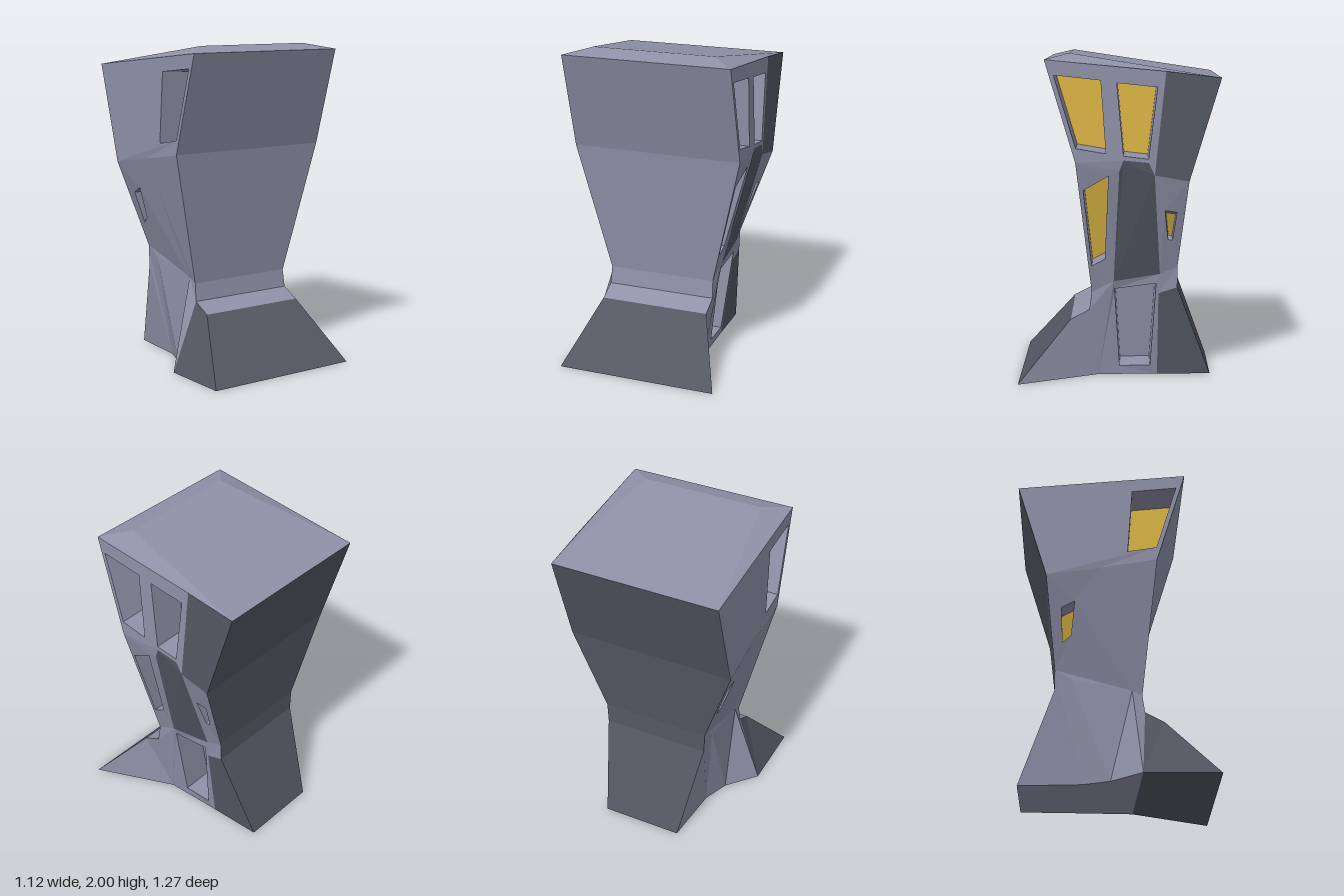
import * as THREE from 'three';

function paint(name, color) {
  const m = new THREE.MeshStandardMaterial({ color, side: THREE.DoubleSide });
  m.name = name;
  return m;
}
const wallMat = paint('paleGrey', 0x8f91a8);
const darkMat = paint('darkGrey', 0x535863);
const glassMat = paint('goldGlass', 0xdcb643);

// Corner profiles from the ground up: [z, y, half width]
const F = [[0.607, 0, 0.51], [0.29, 0.37, 0.35], [0.175, 0.43, 0.35], [0.16, 0.54, 0.345], [0.25, 1.36, 0.54], [0.43, 1.965, 0.535]];
const B = [[-0.575, 0, 0.255], [-0.365, 0.57, 0.34], [-0.365, 0.7, 0.345], [-0.425, 1.25, 0.535], [-0.61, 1.86, 0.532]];

// Point on a corner profile at height y
function along(profile, y) {
  let i = 0;
  while (i < profile.length - 2 && profile[i + 1][1] < y) i++;
  const a = profile[i], b = profile[i + 1];
  const t = (y - a[1]) / (b[1] - a[1]);
  return a.map((v, k) => v + (b[k] - v) * t);
}

// Half width of the side wall at (z, y), blended between the corners
function wallWidth(z, y) {
  const f = along(F, y), b = along(B, y);
  return f[2] + (b[2] - f[2]) * (f[0] - z) / (f[0] - b[0]);
}
const onWall = (z, y) => [z, y, wallWidth(z, y)];
const doorWidth = (z, y) => 0.27 + 0.125 * y;

function mesh(name, positions, material = wallMat) {
  const g = new THREE.BufferGeometry();
  g.setAttribute('position', new THREE.Float32BufferAttribute(positions.flat(), 3));
  g.computeVertexNormals();
  const m = new THREE.Mesh(g, material);
  m.name = name;
  return m;
}
const quad = (a, b, c, d) => [a, b, c, a, c, d];
const R = p => [p[2], p[1], p[0]], L = p => [-p[2], p[1], p[0]];

// Polygon of [z, y, width] points with holes, on the side given by sign
function panel(sign, outline, holes = []) {
  const flat = l => l.map(p => new THREE.Vector2(p[0], p[1]));
  const all = [outline, ...holes].flat();
  const out = [];
  for (const t of THREE.ShapeUtils.triangulateShape(flat(outline), holes.map(flat))) {
    const [a, b, c] = t.map(i => all[i]);
    const area = (b[0] - a[0]) * (c[1] - a[1]) - (c[0] - a[0]) * (b[1] - a[1]);
    const tri = area * sign < 0 ? [a, b, c] : [a, c, b];
    out.push(...tri.map(sign > 0 ? R : L));
  }
  return out;
}

// Wall panel with recessed openings: { name, pts: [z, y] corners, depth, taper, mat, width }
function addWall(group, name, sign, outline, openings = [], mat = wallMat) {
  const at = sign > 0 ? R : L;
  const holes = openings.map(o => o.pts.map(([z, y]) => [z, y, (o.width || wallWidth)(z, y)]));
  group.add(mesh(name, panel(sign, outline, holes), mat));
  openings.forEach((o, i) => {
    const rim = holes[i];
    const mid = [0, 1].map(k => rim.reduce((s, p) => s + p[k], 0) / rim.length);
    const inner = rim.map(([z, y, w]) => [mid[0] + (z - mid[0]) * o.taper, mid[1] + (y - mid[1]) * o.taper, w - o.depth]);
    const sides = [];
    rim.forEach((p, k) => {
      const n = (k + 1) % rim.length;
      const q = [at(p), at(rim[n]), at(inner[n]), at(inner[k])];
      sides.push(...(sign > 0 ? quad(...q) : quad(...q.reverse())));
    });
    group.add(mesh(o.name + 'Reveal', sides));
    group.add(mesh(o.name + 'Pane', panel(sign, inner), o.mat));
  });
}

// Horizontal polygon facing down
function underside(rim) {
  const out = [];
  for (const t of THREE.ShapeUtils.triangulateShape(rim.map(p => new THREE.Vector2(p[0], p[2])), [])) {
    const [p, q, r] = t.map(i => rim[i]);
    const area = (q[0] - p[0]) * (r[2] - p[2]) - (r[0] - p[0]) * (q[2] - p[2]);
    out.push(...(area > 0 ? [p, q, r] : [p, r, q]));
  }
  return out;
}

export function createModel() {
  const tower = new THREE.Group();
  tower.name = 'leaningTower';

  // Front with its dark flared foot, and the dark back
  const strip = i => quad(L(F[i]), R(F[i]), R(F[i + 1]), L(F[i + 1]));
  tower.add(mesh('frontFoot', strip(0), darkMat));
  tower.add(mesh('frontWall', [1, 2, 3, 4].flatMap(strip)));
  tower.add(mesh('backWall', [0, 1, 2, 3].flatMap(i => quad(R(B[i]), L(B[i]), L(B[i + 1]), R(B[i + 1]))), darkMat));

  // Roof with a raised ridge near the front
  const ridge = [0.29, 2.0, 0.385], eave = F[5], rear = B[4];
  tower.add(mesh('roof', [
    ...quad(L(eave), R(eave), R(ridge), L(ridge)),
    ...quad(L(ridge), R(ridge), R(rear), L(rear)),
    R(eave), R(rear), R(ridge),
    L(eave), L(ridge), L(rear),
  ]));

  // Openings
  const glazed = { mat: glassMat, depth: 0.22, taper: 0.97 };
  const frontWindow = { ...glazed, name: 'upperFrontWindow', pts: [[0.375, 1.875], [0.1, 1.845], [0.07, 1.415], [0.247, 1.445]] };
  const rearWindow = { ...glazed, name: 'upperRearWindow', pts: [[0.005, 1.83], [-0.235, 1.805], [-0.183, 1.383], [-0.035, 1.4]] };
  const middleWindow = { ...glazed, name: 'middleWindow', depth: 0.18, pts: [[0.205, 1.19], [0.055, 1.28], [0.078, 0.755], [0.158, 0.71]] };
  const smallWindow = { ...glazed, name: 'smallWindow', depth: 0.05, taper: 0.8, pts: [[-0.284, 1.065], [-0.356, 1.055], [-0.332, 0.875], [-0.304, 0.88]] };
  const otherSmall = { ...glazed, name: 'otherSmallWindow', depth: 0.12, pts: [[-0.25, 1.1], [-0.33, 1.06], [-0.32, 0.86], [-0.27, 0.9]] };
  const door = { name: 'door', mat: wallMat, depth: 0.2, taper: 0.98, width: doorWidth, pts: [[0.02, 0.56], [-0.235, 0.595], [-0.2, 0.06], [-0.01, 0.055]] };

  // Left wall: pale fields around a dark band that runs down from the rear corner
  const eaveSplit = [-0.285, 1.898, 0.533];
  const p1 = onWall(-0.01, 1.31), p2 = onWall(-0.035, 1.375), p3 = onWall(-0.185, 1.36), p4 = onWall(-0.22, 1.285);
  const m1 = onWall(0.025, 0.61), m2 = onWall(-0.258, 0.655), n = onWall(-0.25, 0.53);
  addWall(tower, 'leftUpperWall', 1, [F[5], F[4], p1, p2, p3, p4, eaveSplit], [frontWindow, rearWindow]);
  addWall(tower, 'leftUpperDarkPanel', 1, [eaveSplit, p4, B[3], B[4]], [], darkMat);
  addWall(tower, 'leftMiddleFrontWall', 1, [F[3], F[4], p1, m1], [middleWindow]);
  addWall(tower, 'leftMiddleDarkPanel', 1, [m1, p1, p2, p3, p4, m2], [], darkMat);
  n[2] = 0.335;
  addWall(tower, 'leftMiddleRearWall', 1, [m2, p4, B[3], B[2], B[1], n], [smallWindow]);

  // Lower left wall bends inward to the door
  const a = [0.12, 0, 0.277], c = [-0.245, 0, 0.263];
  addWall(tower, 'leftFootWall', 1, [F[3], F[2], F[1], F[0], a, m1]);
  addWall(tower, 'doorWall', 1, [m1, a, c, n, m2], [door]);
  addWall(tower, 'leftRearFootWall', 1, [n, c, B[0], B[1]], [], darkMat);

  // Right wall, pale with two windows
  const s = onWall(-0.1, 1.303), k1 = [0.1, 0.57, 0.345], k2 = onWall(-0.26, 0.64);
  addWall(tower, 'rightUpperWall', -1, [F[5], F[4], s, B[3], B[4]], [frontWindow]);
  addWall(tower, 'rightMiddleFrontWall', -1, [F[3], F[4], s, k1]);
  addWall(tower, 'rightMiddleRearWall', -1, [k1, s, B[3], B[2], k2], [otherSmall]);

  // Lower right wall steps in behind the dark flared foot
  const d = [0.154, 0, 0.506], e = [-0.03, 0, 0.346], f = [-0.195, 0, 0.283];
  addWall(tower, 'rightFootWall', -1, [F[2], F[1], F[0], d], [], darkMat);
  addWall(tower, 'rightFootStep', -1, [F[3], F[2], d, e, k1]);
  addWall(tower, 'rightRearFootWall', -1, [k1, e, f, k2]);
  addWall(tower, 'rightBackFootWall', -1, [k2, f, B[0], B[1], B[2]]);

  // Underside, dark below the flared foot
  tower.add(mesh('footUnderside', underside([R(F[0]), R(a), L(d), L(F[0])]), darkMat));
  tower.add(mesh('rearUnderside', underside([R(a), R(c), R(B[0]), L(B[0]), L(f), L(e), L(d)])));

  // The whole tower stands slightly turned
  tower.rotation.y = 0.052;
  const model = new THREE.Group();
  model.name = 'building';
  model.add(tower);
  return model;
}
